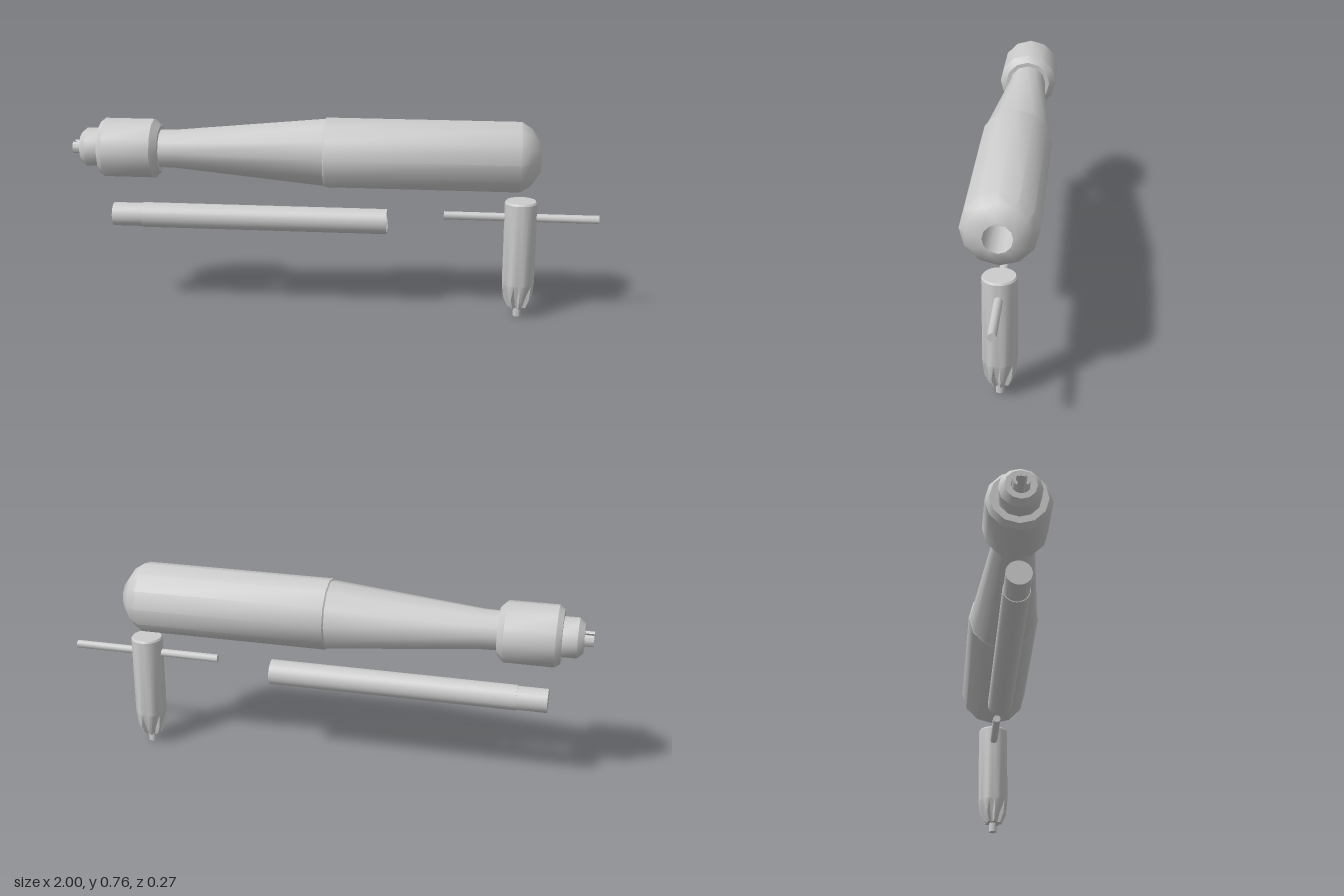
import * as THREE from 'three';
import { toCreasedNormals } from 'three/addons/utils/BufferGeometryUtils.js';

const grey = new THREE.MeshStandardMaterial({ color: 0xcccccc });
const AXIS_Y = 0.625;
const KEY_X = 0.708;

function addMesh(parent, name, geometry, crease = 0.62) {
  const mesh = new THREE.Mesh(toCreasedNormals(geometry, crease), grey);
  mesh.name = name;
  parent.add(mesh);
  return mesh;
}

// Turned part lying along x; profile is [x, radius] pairs, outside running towards +x
function turned(parent, name, profile, y, sides) {
  const points = profile.map(([x, r]) => new THREE.Vector2(r, x));
  const geometry = new THREE.LatheGeometry(points, sides);
  geometry.rotateZ(-Math.PI / 2);
  geometry.translate(0, y, 0);
  return addMesh(parent, name, geometry);
}

// Collet jaw: arc section extruded along x, on the +z (side = 1) or -z side
function jaw(parent, side) {
  const shape = new THREE.Shape();
  const half = 0.87;
  shape.absarc(0, 0, 0.033, -half, half, false);
  shape.absarc(0, 0, 0.022, half, -half, true);
  shape.closePath();
  const geometry = new THREE.ExtrudeGeometry(shape, { depth: 0.2, bevelEnabled: false, curveSegments: 4 });
  // taper the tip slightly
  const p = geometry.attributes.position;
  for (let i = 0; i < p.count; i++) {
    if (p.getZ(i) < 0.001) p.setXY(i, p.getX(i) * 0.88, p.getY(i) * 0.88);
  }
  geometry.rotateY(Math.PI / 2);
  if (side > 0) geometry.rotateX(Math.PI);
  geometry.translate(-1, AXIS_Y, 0);
  addMesh(parent, side > 0 ? 'leftColletJaw' : 'rightColletJaw', geometry);
}

// Key shaft: stacked rings, the lowest ones fluted into teeth
function keyShaft() {
  const sides = 32;
  // [y, ridge radius, groove radius]
  const rings = [
    [0.038, 0, 0], [0.038, 0.038, 0.027], [0.075, 0.055, 0.042], [0.13, 0.061, 0.059],
    [0.135, 0.061, 0.061], [0.45, 0.061, 0.061], [0.457, 0.056, 0.056], [0.457, 0, 0],
  ];
  const positions = [];
  const index = [];
  rings.forEach(([y, ridge, groove], k) => {
    for (let i = 0; i < sides; i++) {
      const a = ((i + 0.5) / sides) * Math.PI * 2;
      const r = i % 4 < 2 ? ridge : groove;
      positions.push(r * Math.sin(a), y, r * Math.cos(a));
      if (k === rings.length - 1) continue;
      const j = (i + 1) % sides;
      const a0 = k * sides + i, b0 = k * sides + j;
      const a1 = a0 + sides, b1 = b0 + sides;
      if (k > 0) index.push(a0, b0, b1);
      if (k === 0) index.push(a0, b1, a1);
      else if (k < rings.length - 2) index.push(a0, b1, a1);
    }
  });
  const geometry = new THREE.BufferGeometry();
  geometry.setAttribute('position', new THREE.Float32BufferAttribute(positions, 3));
  geometry.setIndex(index);
  return geometry;
}

export function createModel() {
  const model = new THREE.Group();
  model.name = 'pinVise';

  // Hand tool: hollow handle, tapered neck, chuck and collet
  const tool = new THREE.Group();
  tool.name = 'handTool';
  model.add(tool);
  turned(tool, 'handle', [
    [-0.03, 0.05], [-0.03, 0.13], [-0.025, 0.135], [0.7, 0.135], [0.738, 0.11],
    [0.775, 0.056], [0.775, 0.052], [-0.03, 0.05],
  ], AXIS_Y, 12);
  turned(tool, 'taperedNeck', [
    [-0.72, 0.034], [-0.72, 0.072], [-0.6, 0.075], [-0.03, 0.13], [-0.03, 0.05],
    [-0.6, 0.05], [-0.6, 0.034], [-0.72, 0.034],
  ], AXIS_Y, 12);
  turned(tool, 'chuck', [
    [-0.89, 0.034], [-0.89, 0.1], [-0.87, 0.115], [-0.685, 0.115], [-0.66, 0.09],
    [-0.66, 0.06], [-0.7, 0.034], [-0.89, 0.034],
  ], AXIS_Y, 12);
  turned(tool, 'chuckNose', [
    [-0.967, 0.034], [-0.967, 0.055], [-0.945, 0.075], [-0.88, 0.075],
    [-0.88, 0.034], [-0.967, 0.034],
  ], AXIS_Y, 12);
  for (const side of [1, -1]) jaw(tool, side);

  // Storage tube: closed stepped end at -x, open at +x
  turned(model, 'tube', [
    [-0.855, 0], [-0.855, 0.045], [-0.74, 0.045], [-0.74, 0.048], [0.205, 0.048],
    [0.205, 0.04], [-0.7, 0.04], [-0.7, 0],
  ], 0.36, 24);

  // Chuck key with cross bar and pilot pin
  const key = new THREE.Group();
  key.name = 'chuckKey';
  key.position.x = KEY_X;
  model.add(key);
  addMesh(key, 'keyShaft', keyShaft(), 0.5);
  const pin = addMesh(key, 'pilotPin', new THREE.CylinderGeometry(0.015, 0.015, 0.045, 16));
  pin.position.y = 0.0225;
  const bar = addMesh(key, 'crossBar', new THREE.CylinderGeometry(0.016, 0.016, 0.58, 8), 0.9);
  bar.rotation.z = Math.PI / 2;
  bar.position.set(0.71 - KEY_X, 0.392, 0);

  return model;
}
